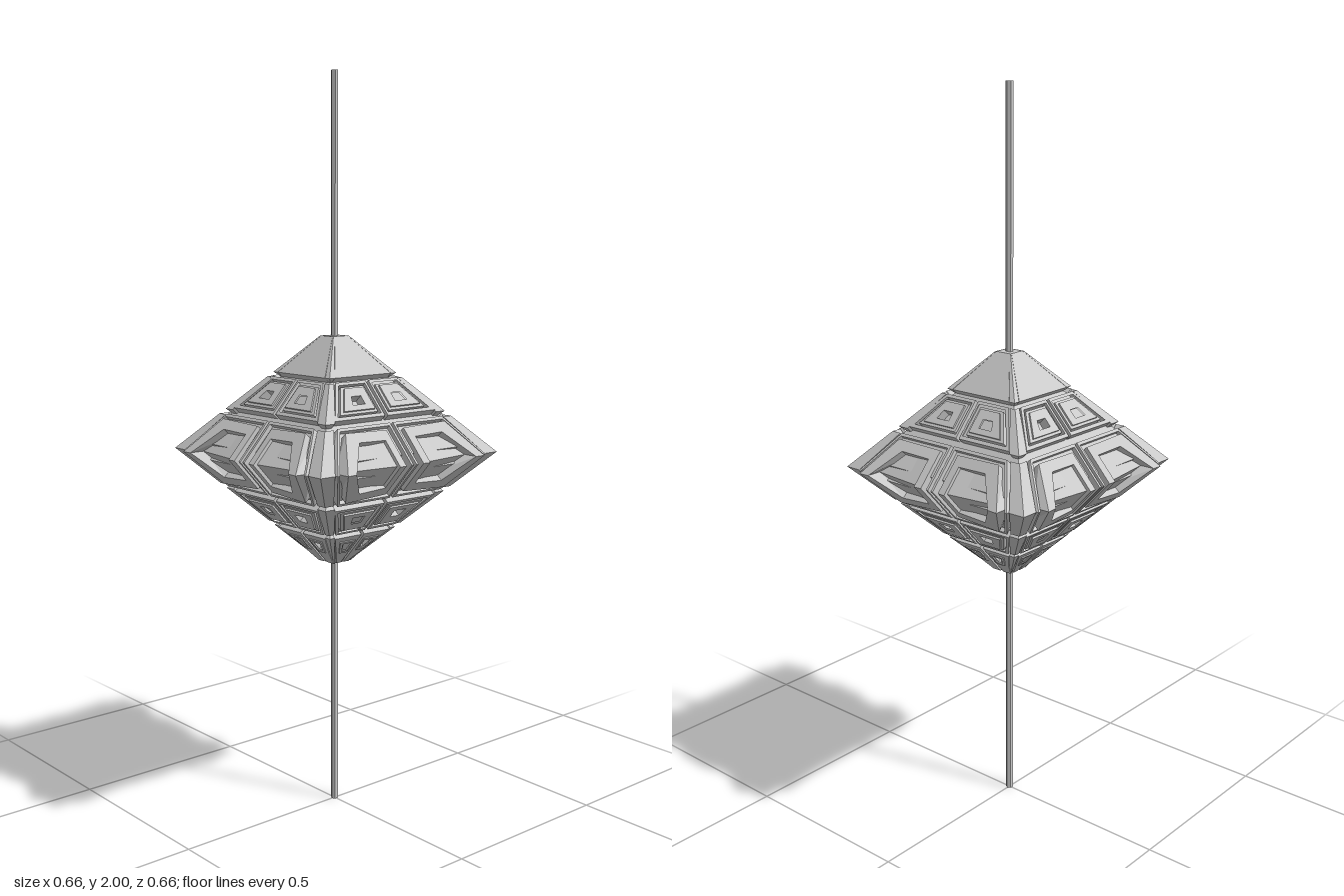
import * as THREE from 'three';

const material = new THREE.MeshStandardMaterial({ color: 0xcccccc, flatShading: true });
const APEX = 0.027, EDGE = 0.31, SLOPE = 1.095;   // half widths at tip and equator, rise per run
const NZ = 0.738, NY = 0.674;                     // outward normal of a pyramid face

// Armour plate on the upper +z face. Points are [x, d], d = distance out from the axis;
// the plate fills from depth n0 up to height n1 (a number or a function of x).
// Ends lying on the equator are mitred to meet their mirror image.
function plate(name, outline, n1, hole, n0 = -0.02) {
  const pts = (list) => list.map(([x, d]) => new THREE.Vector2(x, -d));
  const shape = new THREE.Shape(pts(outline));
  if (hole) shape.holes.push(new THREE.Path(pts(hole)));
  const geo = new THREE.ExtrudeGeometry(shape, { depth: 1, bevelEnabled: false });
  const p = geo.attributes.position;
  for (let i = 0; i < p.count; i++) {
    const x = p.getX(i), d = -p.getY(i);
    const top = typeof n1 === 'function' ? n1(Math.abs(x)) : n1;
    const n = p.getZ(i) > 0.5 ? top : Math.min(n0, top - 0.003);
    const mitre = d > EDGE - 0.001;
    const y = mitre ? 1 : 1.31 - SLOPE * (d - APEX) + NY * n;
    const z = mitre ? EDGE + n * 1.354 : d + NZ * n;
    p.setXYZ(i, Math.sign(x) * Math.min(Math.abs(x), z), y, z);
  }
  geo.computeVertexNormals();
  const mesh = new THREE.Mesh(geo, material);
  mesh.name = name;
  return mesh;
}

// Square frustum given by half widths
function frustum(name, top, bottom, y0, y1) {
  const geo = new THREE.CylinderGeometry(top * Math.SQRT2, bottom * Math.SQRT2, y1 - y0, 4);
  geo.rotateY(Math.PI / 4);
  geo.translate(0, (y0 + y1) / 2, 0);
  const mesh = new THREE.Mesh(geo, material);
  mesh.name = name;
  return mesh;
}

// One of the four faces of a pyramid half
function buildFace(lower, wideFoot) {
  const face = new THREE.Group();
  face.name = 'face';
  for (const s of [1, -1]) {
    const m = (list) => list.map(([x, d]) => [s * x, d]);
    const add = (name, outline, n1, hole) => face.add(plate(name, m(outline), n1, hole && m(hole)));

    // Corner strips, one per tier
    for (const [a, b] of [[0.027, 0.117], [0.128, 0.21], [0.222, EDGE]])
      add('cornerStrip', [[0.87 * a, a], [a, a], [b, b], [0.85 * b, b]], 0);

    // Large equator tier: thin rail, heavy bracket and sunken panel
    add('equatorRail', [[0.005, EDGE], [0.005, 0.222], [0.184, 0.222], [0.26, EDGE],
      [0.253, EDGE], [0.181, 0.228], [0.012, 0.228], [0.012, EDGE]], 0.004);
    add('equatorBacking', [[0.012, 0.226], [0.181, 0.226], [0.235, 0.285], [0.012, 0.285]], -0.008);
    add('equatorBracket', [[0.03, EDGE], [0.03, 0.236], [0.174, 0.236], [0.24, EDGE],
      [0.21, EDGE], [0.145, 0.257], [0.053, 0.257], [0.053, EDGE]], (x) => 0.004 + (x - 0.03) * 0.055);
    add('sunkenPanel', [[0.053, 0.257], [0.145, 0.257], [0.21, EDGE], [0.053, EDGE]],
      (x) => -0.004 - (x - 0.053) * 0.085);

    // Middle tier: rail ring and stepped panel with a small window
    const window = [[0.053, 0.161], [0.085, 0.161], [0.095, 0.179], [0.053, 0.179]];
    add('middleRail', [[0.005, 0.128], [0.107, 0.128], [0.176, 0.206], [0.005, 0.206]], 0.002,
      [[0.012, 0.134], [0.102, 0.134], [0.16, 0.199], [0.012, 0.199]]);
    add('middlePanel', [[0.02, 0.138], [0.099, 0.138], [0.148, 0.195], [0.02, 0.195]], 0.001, window);
    add('middleInset', [[0.028, 0.143], [0.093, 0.143], [0.133, 0.19], [0.028, 0.19]], 0.006, window);

    // Lowest tier: split panels, squared off at the foot on two faces
    if (lower) {
      const foot = wideFoot ? [[0.055, 0.03], [0.055, 0.066]] : [[0.02, 0.03]];
      add('footPanel', [[0.005, 0.03], ...foot, [0.097, 0.115], [0.005, 0.115]], 0.002,
        [[0.025, 0.074], [0.038, 0.074], [0.05, 0.094], [0.025, 0.094]]);
      add('footRidge', [[0.016, 0.066], [0.043, 0.066], [0.07, 0.102], [0.016, 0.102]], 0.005,
        [[0.022, 0.072], [0.04, 0.072], [0.056, 0.096], [0.022, 0.096]]);
    }
  }
  if (!lower)
    face.add(plate('capPanel', [[-0.023, 0.027], [0.023, 0.027], [0.098, 0.117], [-0.098, 0.117]], 0));
  return face;
}

function buildHalf(lower) {
  const half = new THREE.Group();
  half.name = lower ? 'lowerPyramid' : 'upperPyramid';
  half.add(frustum('core', 0.003, 0.285, 1, 1.308));
  half.add(frustum('tipCore', 0.024, lower ? 0.103 : 0.112, 1.212, 1.31));
  for (let k = 0; k < 4; k++) {
    const face = buildFace(lower, k % 2 === 0);
    face.rotation.y = k * Math.PI / 2;
    half.add(face);
  }
  if (lower) {
    half.rotation.z = Math.PI;
    half.position.y = 2;
  }
  return half;
}

export function createModel() {
  const model = new THREE.Group();
  model.name = 'spindle';
  model.add(buildHalf(false), buildHalf(true));

  // Hexagonal rod through the whole body
  const rod = new THREE.Mesh(new THREE.CylinderGeometry(0.01, 0.01, 2, 6), material);
  rod.name = 'rod';
  rod.position.y = 1;
  model.add(rod);
  return model;
}
